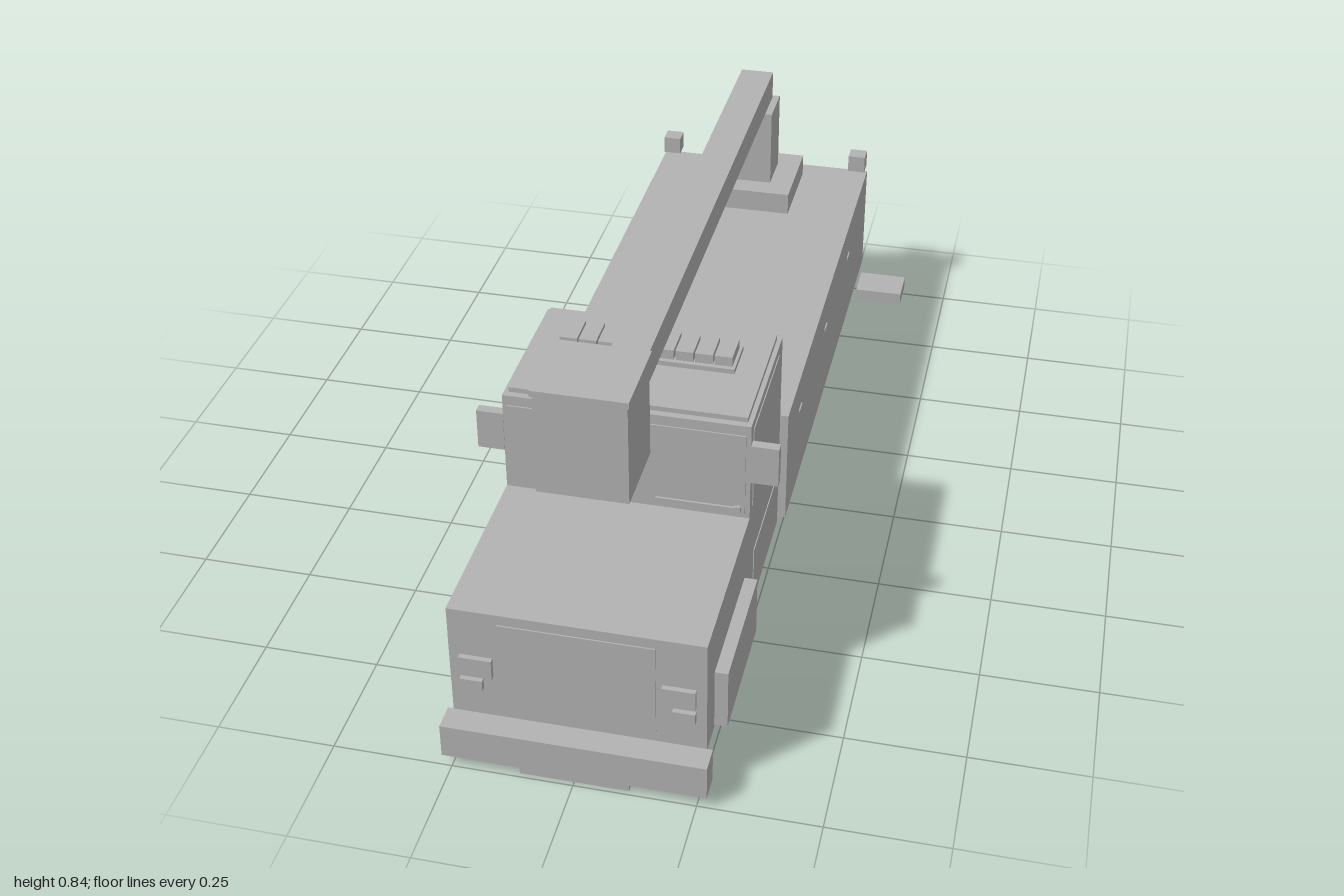
import * as THREE from 'three';

const grey = new THREE.MeshStandardMaterial({ color: 0xb2b2b2 });
grey.name = 'plain grey';

export function createModel() {
  const model = new THREE.Group();
  model.name = 'bucketTruck';

  // Box given by its minimum and maximum on each axis
  function box(name, x0, x1, y0, y1, z0, z1) {
    const mesh = new THREE.Mesh(new THREE.BoxGeometry(x1 - x0, y1 - y0, z1 - z0), grey);
    mesh.position.set((x0 + x1) / 2, (y0 + y1) / 2, (z0 + z1) / 2);
    mesh.name = name;
    model.add(mesh);
    return mesh;
  }
  const centred = (name, half, ...rest) => box(name, -half, half, ...rest);
  // The same box on both sides
  function pair(name, x0, x1, ...rest) {
    box(name + 'Left', x0, x1, ...rest);
    box(name + 'Right', -x1, -x0, ...rest);
  }

  // Chassis, bumper and main volumes
  centred('chassis', 0.112, 0, 0.096, -0.99, 0.99);
  centred('bumper', 0.27, 0.025, 0.102, 0.945, 1);
  centred('hood', 0.258, 0.096, 0.361, 0.54, 0.945);
  centred('cab', 0.258, 0.096, 0.588, 0.2, 0.54);
  centred('roof', 0.248, 0.588, 0.599, 0.21, 0.525);
  centred('utilityBody', 0.273, 0.096, 0.372, -0.99, 0.18);

  // Front face
  centred('grille', 0.157, 0.127, 0.338, 0.945, 0.948);
  pair('headlight', 0.17, 0.237, 0.205, 0.25, 0.945, 0.956);
  pair('indicator', 0.191, 0.237, 0.17, 0.195, 0.945, 0.956);

  // Windows, wipers and mirrors
  centred('windshield', 0.248, 0.372, 0.565, 0.54, 0.543);
  for (const x of [-0.186, 0.062]) {
    box('wiperArm', x, x + 0.166, 0.383, 0.388, 0.543, 0.548);
    box('wiperPivot', x + 0.165, x + 0.178, 0.378, 0.392, 0.543, 0.55);
  }
  pair('sideWindow', 0.258, 0.26, 0.375, 0.568, 0.24, 0.515);
  pair('doorPanel', 0.258, 0.26, 0.16, 0.24, 0.25, 0.49);
  pair('mirror', 0.258, 0.315, 0.452, 0.542, 0.52, 0.541);
  pair('fender', 0.258, 0.285, 0.103, 0.24, 0.583, 0.877);

  // Beacon bar on the roof
  centred('lightBarBase', 0.19, 0.599, 0.61, 0.285, 0.378);
  for (let i = 0; i < 9; i++) {
    const x = (i - 4) * 0.0412;
    box('beacon', x - 0.0188, x + 0.0188, 0.61, 0.632, 0.296, 0.368);
  }

  // Locker handles along the body
  for (const z of [0.02, -0.33, -0.68]) pair('lockerHandle', 0.273, 0.276, 0.286, 0.292, z - 0.015, z + 0.015);

  // Rear lamps, plate, corner beacons and outrigger feet
  pair('tailLight', 0.182, 0.238, 0.174, 0.213, -0.998, -0.99);
  pair('reverseLight', 0.182, 0.238, 0.138, 0.168, -0.998, -0.99);
  centred('rearPlate', 0.035, 0.14, 0.16, -0.996, -0.99);
  pair('cornerBeacon', 0.227, 0.27, 0.388, 0.431, -0.992, -0.95);
  pair('outriggerFoot', 0.275, 0.394, 0.037, 0.07, -0.972, -0.88);

  // Turret and boom
  centred('turretBase', 0.114, 0.39, 0.444, -0.903, -0.682);
  centred('turretColumn', 0.057, 0.444, 0.636, -0.848, -0.737);
  centred('boom', 0.04, 0.636, 0.705, -0.837, 0.602);
  const taper = centred('boomTaper', 0.04, 0.636, 0.705, 0.602, 0.652);
  const p = taper.geometry.attributes.position;
  for (let i = 0; i < p.count; i++) {
    if (p.getZ(i) > 0) p.setXY(i, p.getX(i) * 0.78, p.getY(i) * 0.82);
  }
  taper.geometry = taper.geometry.toNonIndexed();
  taper.geometry.computeVertexNormals();
  centred('boomTip', 0.026, 0.646, 0.694, 0.652, 0.688);

  // Work basket
  centred('basket', 0.09, 0.61, 0.828, 0.698, 0.864);
  centred('basketRim', 0.094, 0.828, 0.841, 0.692, 0.87);

  return model;
}
